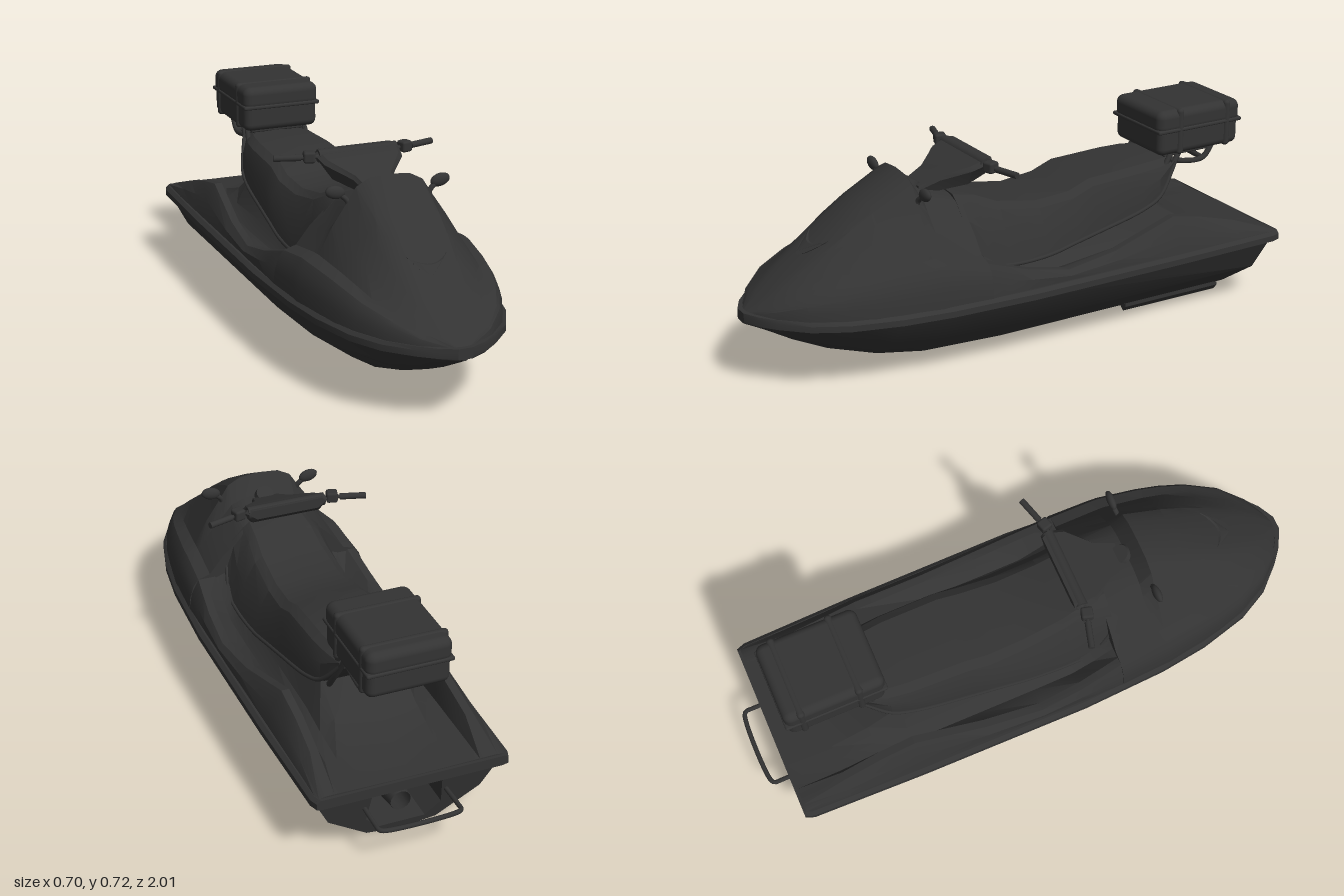
import * as THREE from 'three';
import { toCreasedNormals } from 'three/addons/utils/BufferGeometryUtils.js';
import { RoundedBoxGeometry } from 'three/addons/geometries/RoundedBoxGeometry.js';

const charcoal = new THREE.MeshStandardMaterial({ color: 0x333333, side: THREE.DoubleSide });
charcoal.name = 'charcoal';

function add(parent, name, geometry, pos = [0, 0, 0], rot = [0, 0, 0]) {
  const mesh = new THREE.Mesh(geometry, charcoal);
  mesh.name = name;
  mesh.position.set(...pos);
  mesh.rotation.set(...rot);
  parent.add(mesh);
  return mesh;
}

// Skin over mirrored half sections [z, [[x, y], ...]], listed from front to back
function loft(sections, { back = true, bend = z => z } = {}) {
  const rings = sections.map(([z, half]) => {
    const other = half.filter(p => p[0] > 1e-6).map(([x, y]) => [-x, y]).reverse();
    return [...half, ...other].map(([x, y]) => [x, y, bend(z, y)]);
  });
  const n = rings[0].length, pos = rings.flat(2), idx = [];
  for (let i = 0; i < rings.length - 1; i++) for (let j = 0; j < n; j++) {
    const a = i * n + j, b = i * n + (j + 1) % n;
    idx.push(a, a + n, b, b, a + n, b + n);
  }
  const cap = (i, flip) => {
    const c = pos.length / 3;
    for (let k = 0; k < 3; k++) pos.push(rings[i].reduce((s, p) => s + p[k], 0) / n);
    for (let j = 0; j < n; j++) {
      const a = i * n + j, b = i * n + (j + 1) % n;
      idx.push(c, flip ? b : a, flip ? a : b);
    }
  };
  cap(0, false);
  if (back) cap(rings.length - 1, true);
  const g = new THREE.BufferGeometry();
  g.setAttribute('position', new THREE.Float32BufferAttribute(pos, 3));
  g.setIndex(idx);
  return toCreasedNormals(g, 0.45);
}

function tube(points, radius, segments = 20) {
  const curve = new THREE.CatmullRomCurve3(points.map(p => new THREE.Vector3(...p)), false, 'centripetal');
  return new THREE.TubeGeometry(curve, segments, radius, 8);
}

function buildHull(g) {
  // z, keel height, chine x, chine y, top x
  const rows = [[0.995, 0.225, 0.01, 0.23, 0.015], [0.93, 0.195, 0.075, 0.215, 0.12], [0.85, 0.15, 0.13, 0.195, 0.195],
    [0.74, 0.1, 0.19, 0.17, 0.253], [0.57, 0.045, 0.237, 0.145, 0.298], [0.4, 0.015, 0.256, 0.13, 0.32],
    [0.1, 0.003, 0.265, 0.122, 0.335], [-0.84, 0.006, 0.262, 0.122, 0.322]];
  const rake = (z, y) => z < -0.8 ? z - 0.05 * y / 0.23 : z;
  const half = ([, k, cx, cy, tx]) => [[0, k], [cx * 0.46, k + (cy - k) * 0.14], [cx, cy], [tx, 0.24]];
  add(g, 'hull', loft(rows.map(r => [r[0], half(r)]), { back: false, bend: rake }));

  // Raked transom with the pump opening
  const mirrored = pts => [...pts, ...pts.filter(p => p[0] > 0).map(([x, y]) => [-x, y]).reverse()]
    .map(p => new THREE.Vector2(...p));
  const opening = [[0.08, 0.04], [0.13, 0.09], [0.12, 0.195]];
  const shape = new THREE.Shape(mirrored(half(rows[rows.length - 1])));
  shape.holes.push(new THREE.Path(mirrored(opening)));
  const transom = new THREE.ShapeGeometry(shape);
  const p = transom.attributes.position;
  for (let i = 0; i < p.count; i++) p.setZ(i, rake(-0.84, p.getY(i)));
  transom.setIndex([...transom.index.array].reverse());
  transom.computeVertexNormals();
  add(g, 'transom', transom);
  add(g, 'pumpRecess', loft([[-0.7, opening], [-0.84, opening]], { back: false, bend: rake }));
  add(g, 'jetNozzle', new THREE.CylinderGeometry(0.05, 0.035, 0.13, 16, 1, true), [0, 0.11, -0.77], [Math.PI / 2, 0, 0]);

  // Short strakes under the stern
  for (const s of [-1, 1]) {
    const strake = new THREE.Shape([[0.11, 0.02], [0.13, 0.002], [0.146, 0.022], [0.146, 0.034]]
      .map(([x, y]) => new THREE.Vector2(s * x, y)));
    add(g, 'strake', new THREE.ExtrudeGeometry(strake, { depth: 0.4, bevelEnabled: false }), [0, 0, -0.8]);
  }

  // Bumper band: half width along the length
  const outline = [[1, 0.025], [0.97, 0.085], [0.93, 0.135], [0.85, 0.212], [0.74, 0.27], [0.57, 0.315],
    [0.4, 0.338], [0.1, 0.352], [-0.5, 0.347], [-0.9, 0.336], [-0.93, 0.325]];
  add(g, 'bumperBand', loft(outline.map(([z, w]) =>
    [z, [[w * 0.94, 0.232], [w, 0.236], [w, 0.257], [w * 0.96, 0.268]]])));
  const side = [[0.14, -0.85], [0.141, -0.96], [0.14, -0.982], [0.128, -0.992]];
  add(g, 'towLoop', tube([...side.map(([x, z]) => [-x, 0.145, z]), ...side.reverse().map(([x, z]) => [x, 0.145, z])], 0.008, 60));
}

function buildDeck(g) {
  const base = 0.262;
  // Hood up to the windscreen lip, then the dash: z, half width, shoulder y, top y
  const hood = [[0.985, 0.03, 0.265, 0.268], [0.93, 0.125, 0.298, 0.313], [0.85, 0.2, 0.333, 0.374],
    [0.74, 0.257, 0.36, 0.456], [0.65, 0.284, 0.38, 0.524], [0.57, 0.301, 0.392, 0.577], [0.43, 0.323, 0.403, 0.655],
    [0.39, 0.325, 0.403, 0.59], [0.25, 0.333, 0.384, 0.555]];
  add(g, 'hood', loft(hood.map(([z, w, s, t]) => {
    const rise = f => s + (t - s) * f;
    return [z, [[w, base], [w * 0.985, base + (s - base) * 0.4], [w * 0.945, base + (s - base) * 0.75], [w * 0.89, s - 0.006],
      [w * 0.76, rise(0.04)], [w * 0.62, rise(0.38)], [w * 0.46, rise(0.68)], [w * 0.36, rise(0.88)],
      [w * 0.22, rise(0.975)], [0, t]]];
  })));

  // Gunwales, footwells and pedestal: z, gunwale x, gunwale y, floor y, pedestal y
  const rear = [[0.26, 0.295, 0.38, 0.38, 0.45], [0.18, 0.303, 0.355, 0.32, 0.45], [0.1, 0.31, 0.33, 0.28, 0.45],
    [-0.05, 0.315, 0.3, 0.275, 0.44], [-0.25, 0.3, 0.322, 0.275, 0.44], [-0.5, 0.275, 0.388, 0.275, 0.42],
    [-0.62, 0.275, 0.364, 0.275, 0.33], [-0.76, 0.28, 0.326, 0.273, 0.28], [-0.92, 0.29, 0.273, 0.27, 0.27]];
  add(g, 'rearDeck', loft(rear.map(([z, x, y, f, t]) => {
    const w = 0.333 + (z - 0.26) * 0.008;
    return [z, [[w, base], [(w + x) / 2 + 0.008, base + (y - base) * 0.55], [x, y], [x - 0.027, y],
      [0.23, f], [0.19, f + (t - f) * 0.2], [0.14, f + (t - f) * 0.85], [0, t]]];
  })));

  // Crescent intake laid onto the hood
  const crescent = new THREE.Shape();
  crescent.moveTo(-0.068, 0.472);
  crescent.quadraticCurveTo(0, 0.435, 0.068, 0.472);
  crescent.quadraticCurveTo(0.03, 0.425, 0, 0.42);
  crescent.quadraticCurveTo(-0.03, 0.425, -0.068, 0.472);
  const intake = new THREE.ExtrudeGeometry(crescent, { depth: 0.008, bevelEnabled: false });
  const p = intake.attributes.position;
  for (let i = 0; i < p.count; i++) {
    const x = p.getX(i), y = p.getY(i);
    p.setZ(i, p.getZ(i) + 0.724 - 1.3 * (y - 0.47) - 3 * x * x);
  }
  intake.computeVertexNormals();
  add(g, 'hoodIntake', intake);
  add(g, 'gauge', new THREE.CylinderGeometry(0.03, 0.035, 0.02, 20), [0, 0.594, 0.372], [-0.5, 0, 0]);
}

function buildSeat(g) {
  // z, top y, top half width, bottom y, bottom half width
  const rows = [[0.27, 0.565, 0.12, 0.43, 0.185], [0.19, 0.55, 0.128, 0.33, 0.203], [0.11, 0.515, 0.135, 0.312, 0.204],
    [-0.04, 0.49, 0.142, 0.312, 0.198], [-0.17, 0.502, 0.15, 0.335, 0.19], [-0.25, 0.532, 0.15, 0.35, 0.185],
    [-0.45, 0.541, 0.145, 0.39, 0.17], [-0.53, 0.543, 0.135, 0.42, 0.155], [-0.61, 0.54, 0.11, 0.51, 0.12]];
  add(g, 'seat', loft(rows.map(([z, t, tw, b, bw]) => [z, [[bw * 0.9, b - 0.01], [bw, b],
    [(tw + bw) / 2 + 0.008, (t + b) / 2], [tw, t - 0.025], [tw * 0.8, t - 0.006], [0, t]]])));
  // Piping along the lower seat edge
  for (const s of [-1, 1])
    add(g, 'seatTrim', tube(rows.map(([z, , , b, bw]) => [s * bw, b, z]), 0.007, 40));
}

function buildSteering(g) {
  // z, bottom y, top y, half width
  const column = [[0.37, 0.55, 0.59, 0.05], [0.3, 0.565, 0.618, 0.07], [0.22, 0.59, 0.655, 0.14],
    [0.16, 0.62, 0.675, 0.152], [0.14, 0.64, 0.675, 0.14]];
  add(g, 'steeringColumn', loft(column.map(([z, b, t, w]) => [z, [[w * 0.8, b], [w, t - 0.014], [w * 0.9, t]]])));
  add(g, 'handlebarPad', new THREE.CylinderGeometry(0.022, 0.022, 0.28, 12), [0, 0.657, 0.165], [0, 0, Math.PI / 2]);
  for (const s of [-1, 1]) {
    add(g, 'handlebar', tube([[s * 0.13, 0.657, 0.175], [s * 0.2, 0.656, 0.16], [s * 0.28, 0.655, 0.135]], 0.007));
    add(g, 'grip', new THREE.CylinderGeometry(0.011, 0.011, 0.09, 12), [s * 0.242, 0.656, 0.147], [0, s * 0.28, Math.PI / 2]);
    add(g, 'switchHousing', new RoundedBoxGeometry(0.04, 0.038, 0.04, 2, 0.008), [s * 0.172, 0.659, 0.168], [0, s * 0.28, 0]);
    add(g, 'mirror', new THREE.SphereGeometry(1, 16, 10), [s * 0.184, 0.611, 0.42], [0, 0, s * 0.2]).scale.set(0.035, 0.022, 0.014);
    add(g, 'mirrorStem', tube([[s * 0.165, 0.6, 0.42], [s * 0.145, 0.58, 0.425], [s * 0.138, 0.55, 0.43]], 0.009));
  }
}

function buildLuggage(g) {
  const z = -0.703;
  const box = new THREE.Group();
  box.name = 'luggageBox';
  g.add(box);
  add(box, 'boxBase', new RoundedBoxGeometry(0.28, 0.105, 0.34, 3, 0.025), [0, 0.607, z]);
  add(box, 'boxLid', new RoundedBoxGeometry(0.286, 0.084, 0.35, 4, 0.028), [0, 0.675, z]);
  add(box, 'boxRim', new RoundedBoxGeometry(0.292, 0.014, 0.356, 2, 0.006), [0, 0.645, z]);
  for (const sz of [-0.82, -0.62])
    add(box, 'strap', new RoundedBoxGeometry(0.292, 0.166, 0.026, 2, 0.012), [0, 0.637, sz]);

  // Carrier under the box
  add(g, 'rackPlate', new RoundedBoxGeometry(0.2, 0.014, 0.2, 2, 0.005), [0, 0.545, -0.68]);
  for (const s of [-1, 1]) {
    for (const shift of [0, 0.035])
      add(g, 'rackLeg', tube([[s * 0.12, 0.39, -0.49 - shift], [s * 0.12, 0.45, -0.535 - shift],
        [s * 0.11, 0.55, -0.6 - shift]], 0.01));
    add(g, 'rackRail', tube([[s * 0.1, 0.535, -0.58], [s * 0.1, 0.51, -0.67], [s * 0.1, 0.51, -0.75], [s * 0.1, 0.56, -0.79]], 0.01));
  }
  add(g, 'rackCrossbar', tube([[-0.1, 0.51, -0.745], [0, 0.51, -0.75], [0.1, 0.51, -0.745]], 0.01));
}

export function createModel() {
  const g = new THREE.Group();
  g.name = 'jetSki';
  buildHull(g);
  buildDeck(g);
  buildSeat(g);
  buildSteering(g);
  buildLuggage(g);
  return g;
}
